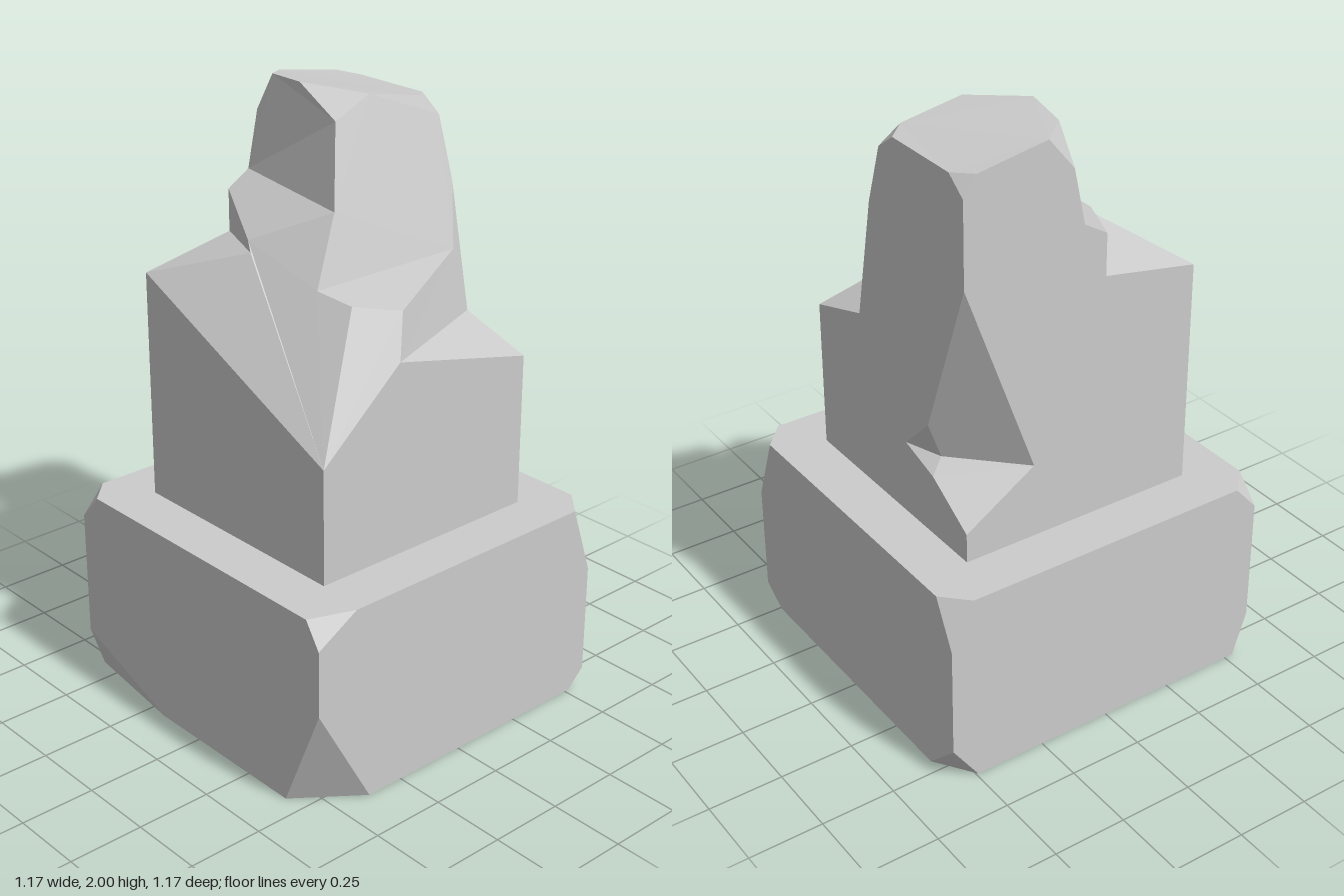
import * as THREE from 'three';

const W = 0.583, H = 0.67, C = 0.415; // plinth half width and height, shaft half width

// Adds one planar-ish polygon (optionally with a hole), turned to face along `out`
function addFace(pos, out, loop, hole = []) {
  const pts = loop.map(p => new THREE.Vector3(...p));
  const holePts = hole.map(p => new THREE.Vector3(...p));
  const n = new THREE.Vector3();
  pts.forEach((p, i) => n.add(p.clone().cross(pts[(i + 1) % pts.length])));
  n.normalize();
  if (n.dot(new THREE.Vector3(...out)) < 0) n.negate();
  const u = new THREE.Vector3(Math.abs(n.x) < 0.8 ? 1 : 0, 0, Math.abs(n.x) < 0.8 ? 0 : 1).cross(n).normalize();
  const v = n.clone().cross(u);
  const flat = p => new THREE.Vector2(p.dot(u), p.dot(v));
  const all = [...pts, ...holePts];
  const tris = THREE.ShapeUtils.triangulateShape(pts.map(flat), hole.length ? [holePts.map(flat)] : []);
  for (const [a, b, c] of tris) {
    const [A, B, D] = [all[a], all[b], all[c]];
    const facing = B.clone().sub(A).cross(D.clone().sub(A)).dot(n) > 0;
    for (const p of facing ? [A, B, D] : [A, D, B]) pos.push(p.x, p.y, p.z);
  }
}

function makeMesh(name, pos) {
  const geo = new THREE.BufferGeometry();
  geo.setAttribute('position', new THREE.Float32BufferAttribute(pos, 3));
  geo.computeVertexNormals();
  const mat = new THREE.MeshStandardMaterial({ color: 0xcccccc, flatShading: true, side: THREE.DoubleSide });
  const mesh = new THREE.Mesh(geo, mat);
  mesh.name = name;
  return mesh;
}

// Block with all eight corners chipped, open below and where the shaft stands
function makePlinth() {
  const pos = [];
  // sign of x, sign of z, chip sizes [x, y, z] at the top and at the bottom
  const corners = [
    [1, 1, [0.08, 0.235, 0.088], [0.065, 0.06, 0.09]],
    [1, -1, [0.08, 0.16, 0.08], [0.09, 0.13, 0.13]],
    [-1, -1, [0.08, 0.09, 0.08], [0.05, 0.15, 0.4]],
    [-1, 1, [0.148, 0.085, 0.055], [0.203, 0.365, 0.155]],
  ].map(([sx, sz, t, b]) => {
    const chip = (y, d, dir) => ({
      x: [sx * (W - d[0]), y, sz * W],
      y: [sx * W, y - dir * d[1], sz * W],
      z: [sx * W, y, sz * (W - d[2])],
    });
    const top = chip(H, t, 1), bottom = chip(0, b, -1);
    addFace(pos, [sx, 1, sz], [top.x, top.y, top.z]);
    addFace(pos, [sx, -1, sz], [bottom.x, bottom.y, bottom.z]);
    return { top, bottom };
  });
  // Side walls
  const outs = [[1, 0, 0], [0, 0, -1], [-1, 0, 0], [0, 0, 1]];
  outs.forEach((out, i) => {
    const a = corners[i], b = corners[(i + 1) % 4], k = out[0] ? 'z' : 'x';
    addFace(pos, out, [a.bottom[k], a.bottom.y, a.top.y, a.top[k], b.top[k], b.top.y, b.bottom.y, b.bottom[k]]);
  });
  // Top rim around the shaft
  const [a, b, c, d] = corners.map(k => k.top);
  addFace(pos, [0, 1, 0], [a.x, a.z, b.z, b.x, c.x, c.z, d.z, d.x],
    [[C, H, C], [C, H, -C], [-C, H, -C], [-C, H, C]]);
  return makeMesh('plinth', pos);
}

// Square shaft, broken off at the top and chipped at the back left edge
function makeShaft() {
  const pos = [];
  const face = (out, ...loop) => addFace(pos, out, loop);
  // Foot corners
  const f1 = [-C, H, C], f2 = [C, H, C], f3 = [C, H, -C], f4 = [-C, H, -C];
  // Lower break and ledge
  const leftBack = [-C, 1.43, -C], leftFront = [-C, 1.05, C];
  const frontPeak = [-0.115, 1.305, C], frontLow = [C, 1.18, C], sideLow = [C, 1.26, 0.165];
  const ledgeFront = [-0.06, 1.438, 0.365], ledgeMid = [-0.18, 1.455, 0.275];
  const ledgeBack = [-0.205, 1.475, 0.15], ledgeEnd = [0.36, 1.475, 0.15];
  // Leaning front slope and its left shoulder
  const slopeSide = [C, 1.67, 0.083], shoulder = [-0.08, 1.675, 0.085], shoulderBack = [0, 1.68, -C];
  const dentA = [-0.082, 1.63, -C], dentB = [-0.082, 1.49, -C];
  const dentC = [-0.23, 1.565, -0.14], dentD = [-0.245, 1.535, -0.11];
  // Crown
  const crownFront = [0, 1.92, 0], crownMid = [0.15, 1.975, -0.015];
  const peak = [0.023, 2, -0.19], peakBack = [0.05, 1.99, -0.35];
  const crownBack = [0.13, 1.975, -C], backChip = [0.04, 1.865, -C];
  const t1 = [C, 1.87, 0.018], t2 = [0.355, 1.935, -0.007], t3 = [C, 1.925, -0.058];
  const u1 = [0.37, 1.935, -C], u2 = [C, 1.925, -0.345], u3 = [C, 1.87, -C];
  // Notch in the back left edge
  const nTop = [C, 1.59, -C], nSide = [C, 1.05, -0.213], nTip = [C, 0.925, -0.085];
  const nLow = [C, 0.88, -0.235], nFoot = [C, 0.77, -C], nBack = [0.17, 0.925, -C], nIn = [0.37, 0.925, -0.213];

  // Four outer walls
  face([0, 0, 1], f1, f2, frontLow, frontPeak, leftFront);
  face([-1, 0, 0], f4, f1, leftFront, leftBack);
  face([1, 0, 0], f2, f3, nFoot, nLow, nTip, nSide, nTop, u3, u2, t3, t1, slopeSide, sideLow, frontLow);
  face([0, 0, -1], f3, f4, leftBack, dentB, dentA, shoulderBack, backChip, crownBack, u1, u3, nTop, nBack, nFoot);
  // Lower break
  face([0, 1, 1], frontPeak, frontLow, sideLow);
  face([0, 1, 1], frontPeak, sideLow, ledgeEnd, ledgeFront);
  face([0, 1, 1], sideLow, slopeSide, ledgeEnd);
  face([0, 1, 0], ledgeFront, ledgeEnd, ledgeBack, ledgeMid);
  face([-1, 1, 1], leftFront, frontPeak, ledgeFront);
  face([-1, 1, 1], leftFront, ledgeFront, ledgeMid);
  // Left slope with its dent
  face([-1, 1, 0], leftBack, leftFront, ledgeMid, ledgeBack, shoulder, dentC, dentD);
  face([-1, 1, 0], leftBack, dentD, dentB);
  face([-1, 0, -1], dentA, dentB, dentD, dentC);
  face([-1, 1, 0], shoulderBack, dentA, dentC, shoulder);
  face([-1, 1, 0], shoulderBack, shoulder, crownFront, peak, peakBack, backChip);
  // Front slope and crown
  face([0, 1, 1], ledgeBack, ledgeEnd, slopeSide, t1, t2, crownMid, crownFront, shoulder);
  face([0, 1, 0], peak, crownFront, crownMid);
  face([0, 1, 0], peak, crownMid, t2, t3, u2, u1, crownBack, peakBack);
  face([0, 1, -1], peakBack, crownBack, backChip);
  face([1, 1, 1], t1, t2, t3);
  face([1, 1, -1], u1, u2, u3);
  // Notch
  face([1, 0, -1], nTop, nSide, nIn, nBack);
  face([1, 0, -1], nSide, nTip, nIn);
  face([0, 1, 0], nTip, nLow, nIn);
  face([0, 1, 0], nIn, nLow, nBack);
  face([0, 1, 0], nLow, nFoot, nBack);
  return makeMesh('brokenShaft', pos);
}

export function createModel() {
  const group = new THREE.Group();
  group.name = 'brokenPillar';
  group.add(makePlinth(), makeShaft());
  return group;
}
